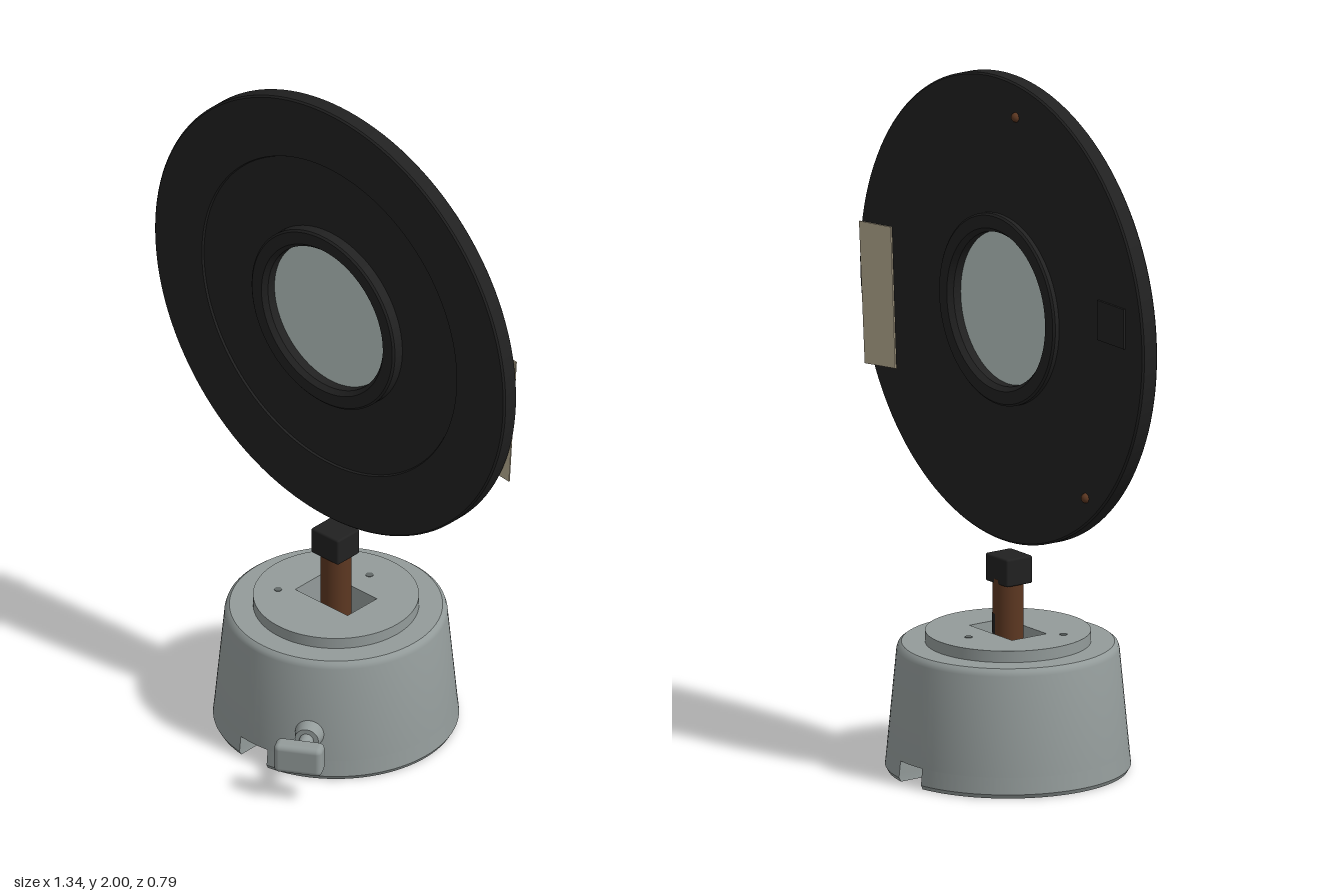
import * as THREE from 'three';
import { toCreasedNormals } from 'three/addons/utils/BufferGeometryUtils.js';
import { RoundedBoxGeometry } from 'three/addons/geometries/RoundedBoxGeometry.js';

const mat = (name, color, side = THREE.FrontSide) => {
  const m = new THREE.MeshStandardMaterial({ color, side });
  m.name = name;
  return m;
};

export function createModel() {
  const grey = mat('grey metal', 0x939b9a);
  const holeGrey = mat('dark grey', 0x626968);
  const black = mat('matt black', 0x212121);
  const glass = mat('pale glass', 0xb8c6c2);
  const brown = mat('brown metal', 0x5c3721);
  const beige = mat('beige tape', 0xb5aa90, THREE.DoubleSide);

  const model = new THREE.Group();
  const Z = -0.053; // shared axis of base, rod and disc

  const add = (name, geometry, material, x = 0, y = 0, z = 0, parent = model) => {
    const mesh = new THREE.Mesh(geometry, material);
    mesh.name = name;
    mesh.position.set(x, y, z);
    parent.add(mesh);
    return mesh;
  };
  const lathe = (pts, segments = 96) =>
    toCreasedNormals(new THREE.LatheGeometry(pts.map(p => new THREE.Vector2(...p)), segments), 0.6);
  // Extrude a plan shape upwards (shape y becomes -z)
  const extrudeUp = (shape, depth, steps = 1) =>
    new THREE.ExtrudeGeometry(shape, { depth, steps, bevelEnabled: false, curveSegments: 64 }).rotateX(-Math.PI / 2);

  // Base: tapered shell above the underside slot
  add('baseShell', lathe([[0.2, 0.06], [0.339, 0.06], [0.312, 0.345], [0.308, 0.357],
    [0.298, 0.365], [0.2, 0.365]]), grey, 0, 0, Z);

  // Raised lid with the rectangular opening running down through the base
  const lid = new THREE.Shape().absarc(0, 0, 0.232, 0, Math.PI * 2, false);
  const opening = new THREE.Path();
  opening.moveTo(-0.1, -0.06).lineTo(-0.1, 0.06).lineTo(0.1, 0.06).lineTo(0.1, -0.06).closePath();
  lid.holes.push(opening);
  add('baseLid', toCreasedNormals(extrudeUp(lid, 0.338), 0.6), grey, 0, 0.06, Z);

  // Two feet, one on each side of the slot, notched around the opening
  for (const side of [0, 1]) {
    const R = 0.345, a = Math.acos(0.052 / R), foot = new THREE.Shape();
    foot.moveTo(0.052, -R * Math.sin(a));
    foot.absarc(0, 0, R, -a, a, false);
    foot.lineTo(0.052, 0.06).lineTo(0.1, 0.06).lineTo(0.1, -0.06).lineTo(0.052, -0.06).closePath();
    const g = extrudeUp(foot, 0.06, 5), p = g.attributes.position;
    for (let i = 0; i < p.count; i++) {
      const x = p.getX(i), y = p.getY(i), z = p.getZ(i);
      if (Math.hypot(x, z) < 0.3) continue;
      const s = y < 0.001 ? 0.977 : 1 - 0.3 * y;
      p.setXYZ(i, x * s, y, z * s);
    }
    g.computeVertexNormals();
    add(side ? 'rightFoot' : 'leftFoot', toCreasedNormals(g, 0.5), grey, 0, 0, Z).rotation.y = side * Math.PI;
  }

  // Small holes in the lid
  for (const [x, z] of [[0, -0.19], [-0.135, 0.04]])
    add('lidHole', new THREE.CylinderGeometry(0.011, 0.011, 0.004, 20), holeGrey, x, 0.3975, z);

  // Clamping screw on the front left of the base
  const clamp = new THREE.Group();
  clamp.name = 'clampScrew';
  clamp.position.set(0, 0.14, Z);
  clamp.rotation.y = Math.PI / 6;
  model.add(clamp);
  const along = g => g.rotateX(Math.PI / 2);
  add('clampCollar', along(new THREE.CylinderGeometry(0.034, 0.044, 0.05, 32)), grey, 0, 0, 0.34, clamp);
  add('clampShaft', along(new THREE.CylinderGeometry(0.02, 0.02, 0.1, 24)), grey, 0, 0, 0.39, clamp);
  add('clampHandle', new RoundedBoxGeometry(0.138, 0.09, 0.055, 4, 0.016), grey, 0, 0, 0.456, clamp);

  // Rod with its cap, lower tip and a worn black patch
  add('rod', new THREE.CylinderGeometry(0.043, 0.043, 0.49, 40), brown, 0, 0.305, Z);
  add('rodTip', new THREE.CylinderGeometry(0.034, 0.034, 0.016, 32), black, 0, 0.053, Z);
  add('rodPatch', new THREE.CylinderGeometry(0.0445, 0.0445, 0.06, 12, 1, true, 2.3, 0.8), black, 0, 0.42, Z);
  add('rodCap', new RoundedBoxGeometry(0.104, 0.08, 0.09, 2, 0.006), black, 0, 0.576, Z + 0.003);

  // Round screen and its fittings, centred on the lens axis
  const screen = new THREE.Group();
  screen.name = 'screen';
  screen.position.y = 1.33;
  model.add(screen);
  add('disc', along(lathe([[0.23, -0.077], [0.665, -0.077], [0.67, -0.072], [0.67, -0.03], [0.665, -0.025],
    [0.487, -0.025], [0.484, -0.031], [0.23, -0.031]], 128)), black, 0, 0, 0, screen);
  add('lensMount', along(lathe([[0.219, -0.05], [0.22, -0.08], [0.232, -0.095], [0.268, -0.095], [0.274, -0.09],
    [0.274, -0.001], [0.268, 0.004], [0.232, 0.004], [0.22, -0.01], [0.219, -0.05]])), black, 0, 0, 0, screen);
  add('lens', along(new THREE.CylinderGeometry(0.222, 0.222, 0.02, 80)), glass, 0, 0, -0.046, screen);

  // Screws on the back
  for (const [x, y] of [[-0.07, 0.57], [-0.4, -0.46]]) {
    const head = new THREE.SphereGeometry(0.014, 20, 8, 0, Math.PI * 2, 0, Math.PI / 2).rotateX(-Math.PI / 2);
    add('backScrew', head, brown, x, y, -0.077, screen);
  }

  // Tape and plate on the back
  const tape = new THREE.Shape([[0.664, 0.11], [0.514, 0.125], [0.493, -0.28], [0.637, -0.296]]
    .map(c => new THREE.Vector2(...c)));
  add('tape', new THREE.ExtrudeGeometry(tape, { depth: 0.004, bevelEnabled: false }), beige, 0, 0, -0.082, screen);
  add('backPlate', new THREE.BoxGeometry(0.125, 0.115, 0.007), black, -0.525, 0.07, -0.08, screen);

  return model;
}
